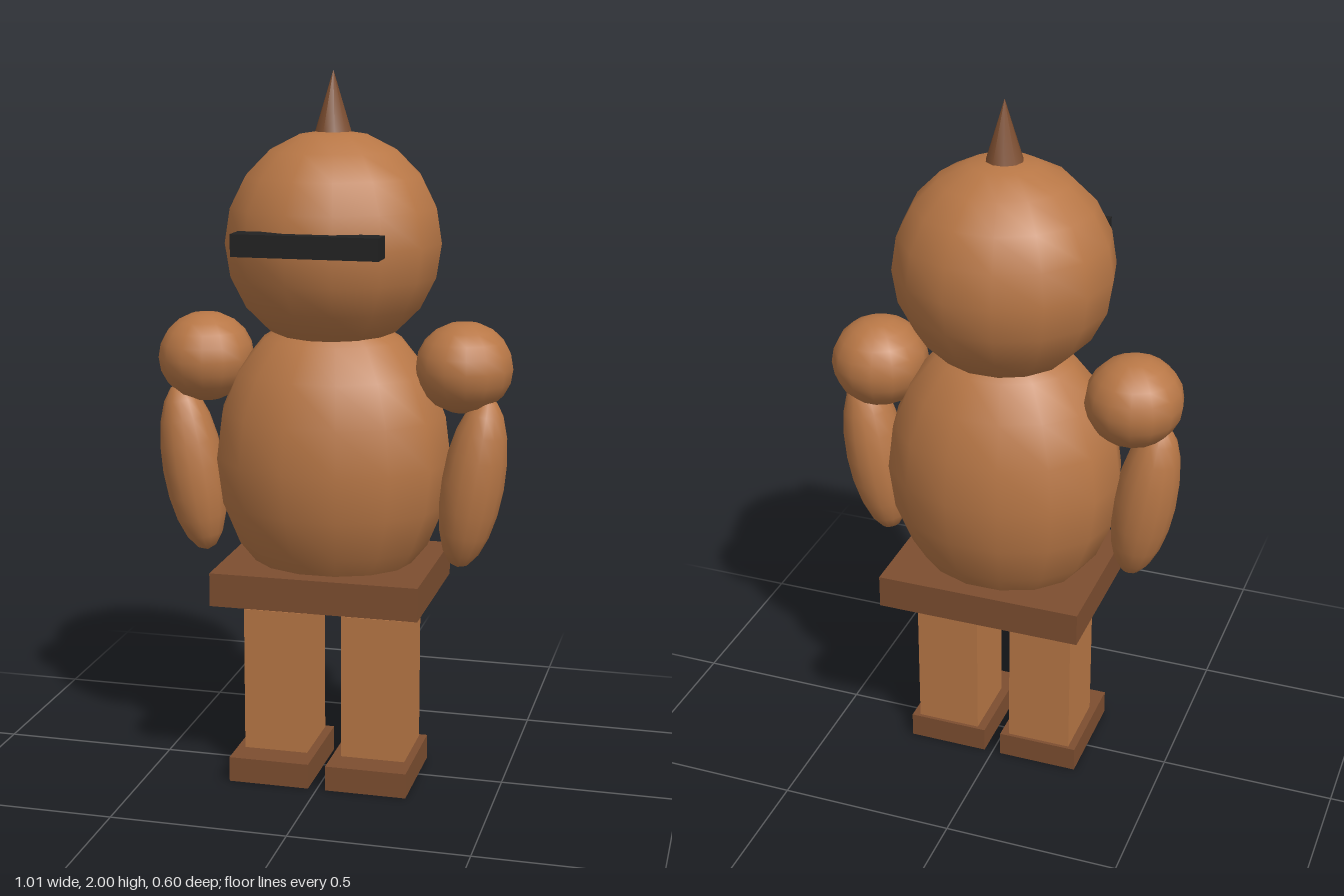
import * as THREE from 'three';

export function createModel() {
  const model = new THREE.Group();
  model.name = 'robot';

  const material = (name, color) => {
    const m = new THREE.MeshStandardMaterial({ color });
    m.name = name;
    return m;
  };
  const copper = material('copper', 0xb87746);
  const brown = material('darkBrown', 0x7d4e30);
  const black = material('black', 0x222222);

  const add = (name, geometry, mat, x, y, z) => {
    const mesh = new THREE.Mesh(geometry, mat);
    mesh.name = name;
    mesh.position.set(x, y, z);
    model.add(mesh);
    return mesh;
  };
  // Box given by its lowest and highest corners
  const box = (name, mat, [x0, y0, z0], [x1, y1, z1]) =>
    add(name, new THREE.BoxGeometry(x1 - x0, y1 - y0, z1 - z0), mat,
      (x0 + x1) / 2, (y0 + y1) / 2, (z0 + z1) / 2);
  // Low-poly smooth ellipsoid with radii rx, ry, rz
  const ball = (name, [rx, ry, rz], x, y, z) =>
    add(name, new THREE.SphereGeometry(1, 14, 10).scale(rx, ry, rz), copper, x, y, z);

  // Head and trunk
  ball('torso', [0.338, 0.415, 0.281], 0, 0.93, -0.012);
  ball('head', [0.304, 0.305, 0.293], 0, 1.537, -0.016);
  box('visor', black, [-0.2, 1.525, 0.23], [0.2, 1.585, 0.303]);
  box('belt', brown, [-0.295, 0.535, -0.248], [0.295, 0.63, 0.225]);

  // Spike on the crown
  const spike = new THREE.ConeGeometry(0.051, 0.165, 10).rotateY(Math.PI / 2);
  add('spike', spike, brown, 0, 1.9175, -0.014);

  // Limbs, mirrored
  for (const s of [-1, 1]) {
    const side = s > 0 ? 'left' : 'right';
    ball(side + 'Shoulder', [0.136, 0.127, 0.141], s * 0.371, 1.199, -0.014);
    const arm = ball(side + 'Arm', [0.088, 0.247, 0.092], s * 0.405, 0.88, 0.015);
    arm.rotation.z = -s * 0.16;
    const span = (a, b) => (s > 0 ? [a, b] : [-b, -a]);
    const [l0, l1] = span(0.05, 0.235);
    box(side + 'Leg', copper, [l0, 0.07, -0.115], [l1, 0.49, 0.095]);
    const [f0, f1] = span(0.025, 0.257);
    box(side + 'Foot', brown, [f0, 0, -0.125], [f1, 0.072, 0.18]);
  }
  return model;
}
